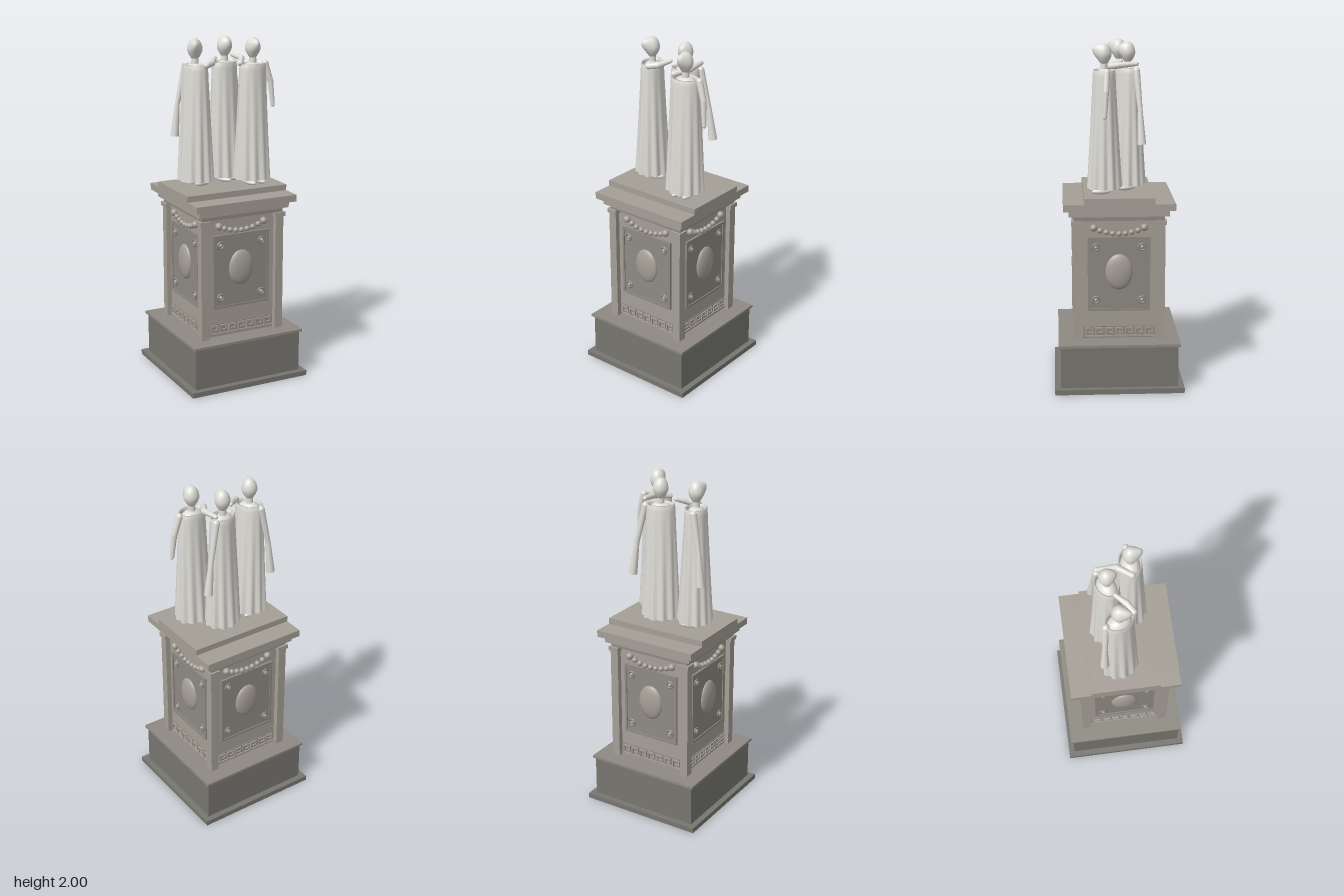
import * as THREE from 'three';

const mat = (color) => new THREE.MeshStandardMaterial({ color });
const darkStone = mat(0x777670);
const midStone = mat(0x8e8a82);
const stone = mat(0xa59f96);
const marble = mat(0xdedcd6);
const cloth = mat(0xdedcd6);
cloth.side = THREE.DoubleSide;

function add(parent, name, geometry, material, x = 0, y = 0, z = 0) {
  const mesh = new THREE.Mesh(geometry, material);
  mesh.name = name;
  mesh.position.set(x, y, z);
  parent.add(mesh);
  return mesh;
}

// Box given by half widths and bottom/top heights
function slab(parent, name, hx, hz, y0, y1, material, x = 0, z = 0) {
  return add(parent, name, new THREE.BoxGeometry(hx * 2, y1 - y0, hz * 2), material, x, (y0 + y1) / 2, z);
}

function ball(parent, name, rx, ry, rz, material, x, y, z) {
  return add(parent, name, new THREE.SphereGeometry(1, 24, 16).scale(rx, ry, rz), material, x, y, z);
}

// One decorated face of the pedestal, built facing +z
function pedestalFace() {
  const g = new THREE.Group();
  g.name = 'pedestalFace';
  slab(g, 'panel', 0.17, 0.005, 0.475, 0.895, midStone, 0, 0.238);

  const frame = new THREE.Shape([[-0.18, 0.465], [0.18, 0.465], [0.18, 0.905], [-0.18, 0.905]].map((p) => new THREE.Vector2(...p)));
  frame.holes.push(new THREE.Path([[-0.167, 0.478], [-0.167, 0.892], [0.167, 0.892], [0.167, 0.478]].map((p) => new THREE.Vector2(...p))));
  add(g, 'panelFrame', new THREE.ExtrudeGeometry(frame, { depth: 0.014, bevelEnabled: false }), midStone, 0, 0, 0.235);

  ball(g, 'ovalMedallion', 0.079, 0.106, 0.028, stone, 0, 0.698, 0.242);
  for (const x of [-0.133, 0.133]) {
    for (const y of [0.53, 0.845]) {
      add(g, 'rosetteRing', new THREE.TorusGeometry(0.019, 0.006, 8, 24), midStone, x, y, 0.245);
      ball(g, 'rosetteCentre', 0.011, 0.011, 0.011, stone, x, y, 0.245);
    }
  }

  // Sagging bead garland
  for (let i = -4; i <= 4; i++) {
    const t = i / 4;
    const r = Math.abs(i) === 4 ? 0.021 : 0.016;
    ball(g, 'garlandBead', r, r, r, stone, t * 0.145, 0.924 + 0.036 * t * t, 0.245);
  }

  // Key-pattern frieze
  slab(g, 'friezeBand', 0.207, 0.004, 0.3, 0.37, midStone, 0, 0.236);
  for (let i = -3; i <= 3; i++) {
    const bar = (x0, x1, y0, y1) =>
      slab(g, 'friezeKey', (x1 - x0) / 2, 0.006, y0, y1, stone, i * 0.058 + (x0 + x1) / 2, 0.242);
    bar(-0.024, -0.016, 0.308, 0.364);
    bar(-0.016, 0.024, 0.356, 0.364);
    bar(0.016, 0.024, 0.33, 0.356);
    bar(-0.004, 0.016, 0.33, 0.338);
    bar(-0.016, 0.034, 0.308, 0.316);
  }
  return g;
}

function pedestal() {
  const g = new THREE.Group();
  g.name = 'pedestal';
  slab(g, 'basePlinth', 0.375, 0.375, 0, 0.03, darkStone);
  slab(g, 'baseBlock', 0.34, 0.34, 0.03, 0.275, darkStone);
  slab(g, 'baseCap', 0.353, 0.353, 0.275, 0.29, midStone);
  slab(g, 'shaft', 0.235, 0.235, 0.29, 1.005, stone);
  for (const x of [-1, 1]) {
    for (const z of [-1, 1]) {
      slab(g, 'cornerPilaster', 0.025, 0.025, 0.29, 0.978, stone, x * 0.24, z * 0.24);
      slab(g, 'pilasterCap', 0.032, 0.032, 0.978, 1.003, stone, x * 0.241, z * 0.241);
    }
  }
  slab(g, 'architrave', 0.26, 0.26, 1.003, 1.032, midStone);
  slab(g, 'bedMoulding', 0.287, 0.287, 1.032, 1.07, stone);
  slab(g, 'cornice', 0.319, 0.319, 1.07, 1.11, stone);
  slab(g, 'topStep', 0.319, 0.2, 1.11, 1.145, stone);
  for (let i = 0; i < 4; i++) {
    const face = pedestalFace();
    face.rotation.y = (i * Math.PI) / 2;
    g.add(face);
  }
  return g;
}

// Fluted gown: elliptical rings whose folds deepen toward the hem
function gownGeometry(phase) {
  const profile = [[0.1, 1.18], [0.098, 1.24], [0.093, 1.4], [0.087, 1.58], [0.081, 1.75], [0.079, 1.82], [0.076, 1.85], [0.069, 1.852], [0.067, 1.835]];
  const geo = new THREE.LatheGeometry(profile.map((p) => new THREE.Vector2(...p)), 88);
  const p = geo.attributes.position;
  for (let i = 0; i < p.count; i++) {
    const x = p.getX(i), y = p.getY(i), z = p.getZ(i);
    const a = Math.atan2(z, x);
    const down = THREE.MathUtils.clamp((1.85 - y) / 0.67, 0, 1);
    const fold = 1 + 0.075 * down * Math.cos(11 * a + phase) + 0.02 * down * Math.sin(4 * a + phase);
    p.setX(i, x * fold * 1.06);
    p.setZ(i, z * fold * THREE.MathUtils.lerp(0.8, 0.96, down));
  }
  geo.computeVertexNormals();
  return geo;
}

// Egg-shaped head, narrow at the chin, with a peak pulled forward near the brow
function headGeometry(peak) {
  const geo = new THREE.SphereGeometry(1, 32, 24);
  const dir = new THREE.Vector3(0, 0.4, 0.92).normalize();
  const p = geo.attributes.position;
  const v = new THREE.Vector3();
  for (let i = 0; i < p.count; i++) {
    v.fromBufferAttribute(p, i);
    const pull = peak * Math.max(0, v.dot(dir)) ** 5;
    const narrow = 1 - 0.4 * Math.max(0, -v.y) ** 1.3;
    p.setXYZ(i, v.x * 0.044 * narrow, v.y * 0.064 + pull * 0.35, v.z * 0.043 * narrow + pull);
  }
  geo.computeVertexNormals();
  return geo;
}

// Tapered limb through [x, y, z, radius] stations; a flare widens its last section
function limb(parent, name, stations, flare = 0) {
  const g = new THREE.Group();
  g.name = name;
  stations.forEach((s, i) => {
    const last = i === stations.length - 1;
    if (!last || !flare) ball(g, 'joint', s[3], s[3], s[3], marble, s[0], s[1], s[2]);
    if (last) return;
    const n = stations[i + 1];
    const a = new THREE.Vector3(...s.slice(0, 3));
    const b = new THREE.Vector3(...n.slice(0, 3));
    const endR = flare && i === stations.length - 2 ? flare : n[3];
    const seg = add(g, 'section', new THREE.CylinderGeometry(endR, s[3], a.distanceTo(b), 20), marble);
    seg.position.copy(a).lerp(b, 0.5);
    seg.quaternion.setFromUnitVectors(new THREE.Vector3(0, 1, 0), b.sub(a).normalize());
  });
  parent.add(g);
}

function figure(name, x, z, turn, headTurn, peak) {
  const g = new THREE.Group();
  g.name = name;
  const body = new THREE.Group();
  body.name = 'body';
  body.position.set(x, 0, z);
  body.rotation.y = turn;
  g.add(body);
  add(body, 'gown', gownGeometry(x * 20), cloth);
  ball(body, 'shoulders', 0.07, 0.05, 0.052, marble, 0, 1.81, 0);
  add(body, 'neck', new THREE.CylinderGeometry(0.018, 0.023, 0.08, 20), marble, 0, 1.875, 0);
  for (const s of [-1, 1]) {
    ball(body, 'foot', 0.023, 0.017, 0.056, marble, s * 0.035, 1.162, 0.024);
    add(body, 'ankle', new THREE.CylinderGeometry(0.014, 0.014, 0.08, 12), marble, s * 0.035, 1.21, 0);
  }
  const head = add(g, 'head', headGeometry(peak), marble, x, 1.936, z);
  head.rotation.y = headTurn;
  return g;
}

export function createModel() {
  const model = new THREE.Group();
  model.name = 'threeFigureMonument';
  model.add(pedestal());

  const right = figure('rightFigure', -0.163, -0.02, 1.92, -0.4, 0.028);
  limb(right, 'reachingArm', [[-0.128, 1.852, 0.06, 0.018], [-0.08, 1.86, 0.03, 0.019], [-0.035, 1.88, -0.025, 0.012]]);
  limb(right, 'hangingArm', [[-0.19, 1.835, -0.095, 0.02], [-0.235, 1.62, -0.107, 0.014], [-0.252, 1.43, -0.112, 0.012]], 0.025);

  const back = figure('backFigure', 0.045, -0.06, 0.4, 0.1, 0.014);
  limb(back, 'reachingArm', [[0.12, 1.88, -0.105, 0.013], [0.125, 1.872, 0.0, 0.018], [0.075, 1.856, 0.08, 0.017]]);
  limb(back, 'hangingArm', [[0.118, 1.84, -0.105, 0.02], [0.165, 1.62, -0.124, 0.014], [0.19, 1.43, -0.132, 0.012]], 0.025);

  const left = figure('leftFigure', 0.155, 0.08, 0.15, 0, 0.026);
  limb(left, 'hangingArm', [[0.243, 1.845, 0.068, 0.019], [0.275, 1.74, 0.074, 0.017], [0.288, 1.6, 0.082, 0.012]]);

  model.add(right, back, left);
  return model;
}
